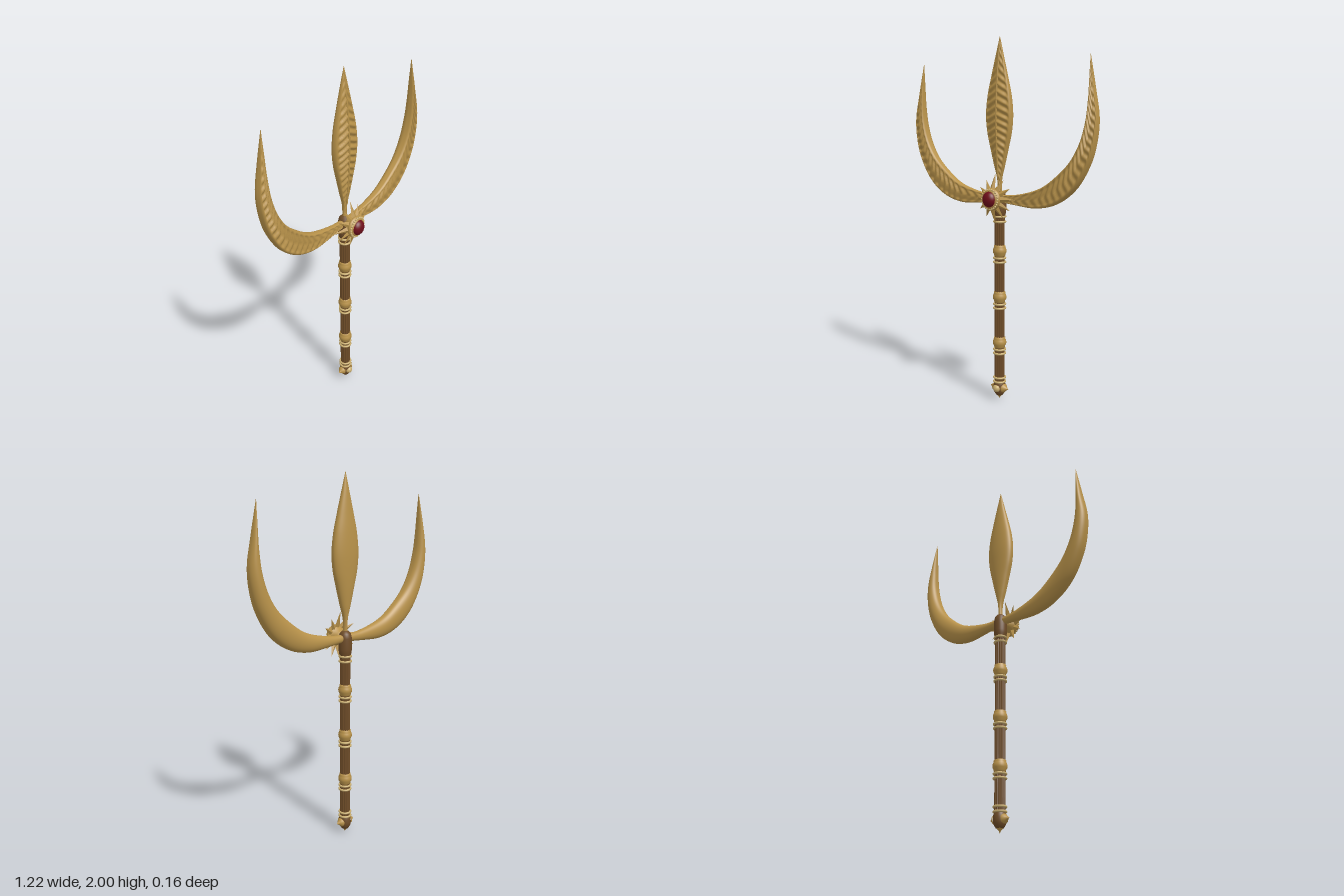
import * as THREE from 'three';

const GOLD = 0xb8924a, WOOD = 0x6e4c28, RED = 0x6e0f1a, PALE = 0xc9ae70;
const ZC = -0.037; // depth of the shaft axis

const material = (color) => new THREE.MeshStandardMaterial({ color });

function add(parent, name, geometry, color, x = 0, y = 0, z = 0) {
  const mesh = new THREE.Mesh(geometry, material(color));
  mesh.name = name;
  mesh.position.set(x, y, z);
  parent.add(mesh);
  return mesh;
}

const lathe = (pts, segments = 32) =>
  new THREE.LatheGeometry(pts.map(([r, y]) => new THREE.Vector2(r, y)), segments);

const curve = (pts) =>
  new THREE.CatmullRomCurve3(pts.map(([x, y, z = 0]) => new THREE.Vector3(x, y, z)));

// Blade lofted between two edge curves: rounded back, rimmed front with chevron ribs.
// The depth curve's y gives the half thickness along the blade.
function bladeGeometry(edgeA, edgeB, depth, { ribs, rim, boxy, lean }) {
  const steps = 180, around = 40, pos = [], index = [];
  for (let i = 0; i <= steps; i++) {
    const t = i / steps;
    const a = edgeA.getPoint(t), b = edgeB.getPoint(t);
    const d = Math.max(0, depth.getPoint(t).y);
    for (let j = 0; j < around; j++) {
      const th = (j / around) * Math.PI * 2;
      const c = Math.cos(th), n = Math.sin(th);
      let z = n * d;
      if (n > 0.001) {
        z = Math.pow(n, boxy) * d;
        const inset = THREE.MathUtils.smoothstep(rim - Math.abs(c), 0, 0.12);
        const phase = (t * ribs - Math.abs(c) * lean) * Math.PI * 2;
        z -= inset * d * (0.2 - 0.13 * Math.sin(phase));
      }
      const k = (c + 1) / 2;
      pos.push(a.x + (b.x - a.x) * k, a.y + (b.y - a.y) * k, ZC + z);
      if (i < steps) {
        const p = i * around + j, q = i * around + ((j + 1) % around);
        index.push(p, q, p + around, q, q + around, p + around);
      }
    }
  }
  const g = new THREE.BufferGeometry();
  g.setAttribute('position', new THREE.Float32BufferAttribute(pos, 3));
  g.setIndex(index);
  g.computeVertexNormals();
  return g;
}

function addBlades(root) {
  // Curved side blades
  const inner = [[0.01, 1.158], [0.11, 1.165], [0.275, 1.21], [0.38, 1.28], [0.46, 1.357],
    [0.513, 1.447], [0.545, 1.553], [0.556, 1.66], [0.558, 1.77], [0.557, 1.878]];
  const outer = [[0.01, 1.12], [0.106, 1.11], [0.26, 1.103], [0.38, 1.135], [0.487, 1.214],
    [0.566, 1.341], [0.598, 1.447], [0.609, 1.56], [0.588, 1.7], [0.558, 1.878]];
  const depth = curve([0.018, 0.022, 0.033, 0.038, 0.041, 0.041, 0.038, 0.031, 0.019, 0.001]
    .map((d, i) => [i, d]));
  for (const s of [1, -1]) {
    const ic = curve(inner.map(([x, y]) => [s * x, y]));
    const oc = curve(outer.map(([x, y]) => [s * x, y]));
    const g = bladeGeometry(s > 0 ? oc : ic, s > 0 ? ic : oc, depth,
      { ribs: 26, rim: 0.78, boxy: 0.45, lean: 0.7 });
    add(root, s > 0 ? 'leftBlade' : 'rightBlade', g, GOLD);
  }

  // Central leaf blade: half width and height
  const leaf = [[0.012, 1.15], [0.012, 1.24], [0.032, 1.32], [0.055, 1.41], [0.077, 1.5],
    [0.085, 1.59], [0.075, 1.69], [0.052, 1.79], [0.024, 1.9], [0.0005, 2]];
  const leafDepth = curve([0.012, 0.015, 0.025, 0.034, 0.039, 0.041, 0.037, 0.028, 0.016, 0.0005]
    .map((d, i) => [i, d]));
  add(root, 'centreBlade', bladeGeometry(
    curve(leaf), curve(leaf.map(([w, y]) => [-w, y])), leafDepth,
    { ribs: 22, rim: 0.88, boxy: 0.7, lean: -1 }), GOLD);
  const spine = curve([[0, 1.26, -0.02], [0, 1.41, -0.009], [0, 1.59, -0.003],
    [0, 1.75, -0.011], [0, 1.97, -0.034]]);
  add(root, 'leafSpine', new THREE.TubeGeometry(spine, 40, 0.005, 8), GOLD);
}

function addShaft(root) {
  // Fluted grip
  const grip = new THREE.CylinderGeometry(0.026, 0.026, 1.04, 96, 1, true);
  const p = grip.attributes.position;
  for (let i = 0; i < p.count; i++) {
    const k = 1 + 0.08 * Math.cos(14 * Math.atan2(p.getZ(i), p.getX(i)));
    p.setX(i, p.getX(i) * k);
    p.setZ(i, p.getZ(i) * k);
  }
  grip.computeVertexNormals();
  add(root, 'grip', grip, WOOD, 0, 0.6, ZC);
  add(root, 'gripCap', lathe([[0.027, 1.03], [0.034, 1.06], [0.036, 1.08], [0.036, 1.14],
    [0.03, 1.165], [0.018, 1.178], [0, 1.182]]), WOOD, 0, 0, ZC);

  // Bead collars and rings
  const bead = lathe([[0.026, -0.032], [0.031, -0.026], [0.031, -0.02], [0.037, -0.01],
    [0.038, 0.002], [0.035, 0.014], [0.031, 0.02], [0.032, 0.028], [0.026, 0.032]]);
  const ring = (y) => {
    const g = new THREE.TorusGeometry(0.031, 0.006, 10, 32).rotateX(Math.PI / 2);
    add(root, 'ring', g, PALE, 0, y, ZC);
  };
  for (const y of [0.85, 0.59, 0.33]) {
    add(root, 'collar', bead, GOLD, 0, y, ZC);
    ring(y - 0.04);
    ring(y - 0.063);
  }
  [1.04, 1.012, 0.126, 0.102].forEach(ring);

  // Pommel with studs and end spike
  add(root, 'pommel', lathe([[0, 0.02], [0.02, 0.024], [0.031, 0.042], [0.034, 0.06],
    [0.033, 0.085], [0.026, 0.1]]), WOOD, 0, 0, ZC);
  add(root, 'endSpike', lathe([[0, 0], [0.006, 0.012], [0.015, 0.022], [0.024, 0.032],
    [0.024, 0.036]]), GOLD, 0, 0, ZC);
  const stud = lathe([[0.024, 0], [0.024, 0.008], [0.014, 0.018], [0.006, 0.028], [0, 0.038]], 20);
  for (const s of [1, -1]) {
    add(root, 'sideStud', stud, GOLD, s * 0.026, 0.066, ZC).rotation.z = -s * Math.PI / 2;
  }
  add(root, 'frontStud', new THREE.SphereGeometry(0.022, 20, 14), PALE, 0, 0.066, -0.012);
}

function addSunburst(root) {
  const sun = new THREE.Group();
  sun.name = 'sunburst';
  sun.position.set(0, 1.14, 0);
  root.add(sun);

  // Tapered rays sloping back from the hub to their tips
  for (let i = 0; i < 12; i++) {
    const length = i % 3 === 0 ? 0.105 : 0.085;
    const g = new THREE.CylinderGeometry(0, 0.021, length, 4).toNonIndexed();
    g.scale(1, 1, 0.55).translate(0, length / 2, 0);
    g.rotateX(-0.3).translate(0, 0.038, 0.031);
    g.rotateZ((i * Math.PI) / 6);
    g.computeVertexNormals();
    add(sun, 'ray', g, GOLD);
  }

  // Hub and stepped bezel, turned to face the front
  const hub = lathe([[0, -0.03], [0.026, -0.03], [0.03, 0.0], [0.052, 0.022], [0.06, 0.036],
    [0.06, 0.044], [0.052, 0.05], [0.05, 0.056], [0.044, 0.06], [0.04, 0.056], [0, 0.056]], 40);
  add(sun, 'hub', hub.rotateX(Math.PI / 2), GOLD);
  for (let i = 0; i < 24; i++) {
    const a = (i / 24) * Math.PI * 2;
    add(sun, 'bezelBead', new THREE.SphereGeometry(0.006, 10, 8), PALE,
      0.053 * Math.cos(a), 0.053 * Math.sin(a), 0.051);
  }
  const gem = new THREE.SphereGeometry(1, 32, 20).scale(0.04, 0.043, 0.032);
  add(sun, 'gem', gem, RED, 0, 0, 0.053);
}

export function createModel() {
  const root = new THREE.Group();
  root.name = 'trident';
  addBlades(root);
  addShaft(root);
  addSunburst(root);
  return root;
}
